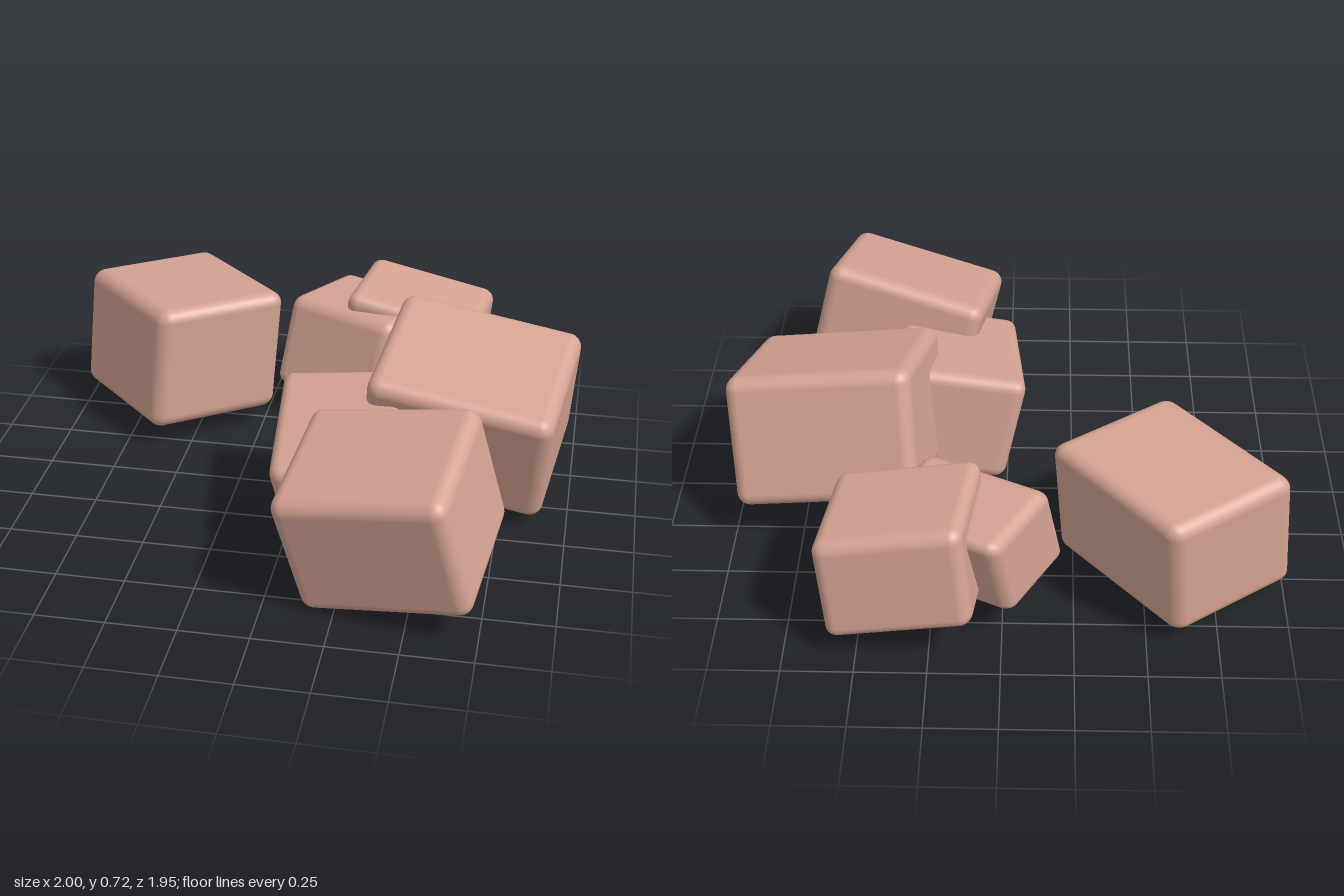
import * as THREE from 'three';
import { RoundedBoxGeometry } from 'three/addons/geometries/RoundedBoxGeometry.js';

const V = (p) => new THREE.Vector3(...p);

// Each block: centre, then its edge directions across, up and forward
// (lengths measured between the centres of the rounded corners).
const blocks = [
  { name: 'leftOutlyingBlock', r: 0.05, at: [-0.59, 0.322, -0.52],
    across: [0.345, -0.005, -0.24], up: [0.03, 0.39, -0.03], forward: [0.345, 0.025, 0.37] },
  { name: 'rearLeaningBlock', r: 0.045, at: [0.115, 0.312, -0.63],
    across: [0.35, 0, 0.17], up: [0.045, 0.27, -0.06], forward: [-0.14, 0.01, 0.235] },
  { name: 'rearBlock', r: 0.045, at: [0.337, 0.325, -0.733],
    across: [0.415, -0.08, 0.03], up: [0.03, 0.29, 0.035], forward: [-0.045, 0, 0.33] },
  { name: 'rightBlock', r: 0.05, at: [0.62, 0.38, -0.055],
    across: [0.57, -0.08, 0.05], up: [0.025, 0.37, 0.12], forward: [-0.065, -0.12, 0.425] },
  { name: 'middleLowBlock', r: 0.045, at: [0.22, 0.265, 0.268],
    across: [0.37, 0.045, 0.01], up: [-0.07, 0.32, 0.04], forward: [0.045, -0.08, 0.505] },
  { name: 'frontBlock', r: 0.05, at: [0.415, 0.335, 0.65],
    across: [0.5, 0.105, 0.105], up: [-0.09, 0.355, 0.045], forward: [-0.06, -0.1, 0.405] },
];

// Rounded block turned so its edges follow the three given directions
function makeBlock({ name, r, at, across, up, forward }, material) {
  const edges = [across, up, forward].map(V);
  const sizes = edges.map((e) => e.length() + 2 * r);
  const geometry = new RoundedBoxGeometry(...sizes, 4, r);
  geometry.applyMatrix4(new THREE.Matrix4().makeBasis(...edges.map((e) => e.normalize())));
  const mesh = new THREE.Mesh(geometry, material);
  mesh.name = name;
  mesh.position.set(...at);
  return mesh;
}

export function createModel() {
  const group = new THREE.Group();
  group.name = 'scatteredBlocks';
  const clay = new THREE.MeshStandardMaterial({ color: 0xd4a292 });
  clay.name = 'clay pink';
  for (const block of blocks) group.add(makeBlock(block, clay));
  return group;
}
